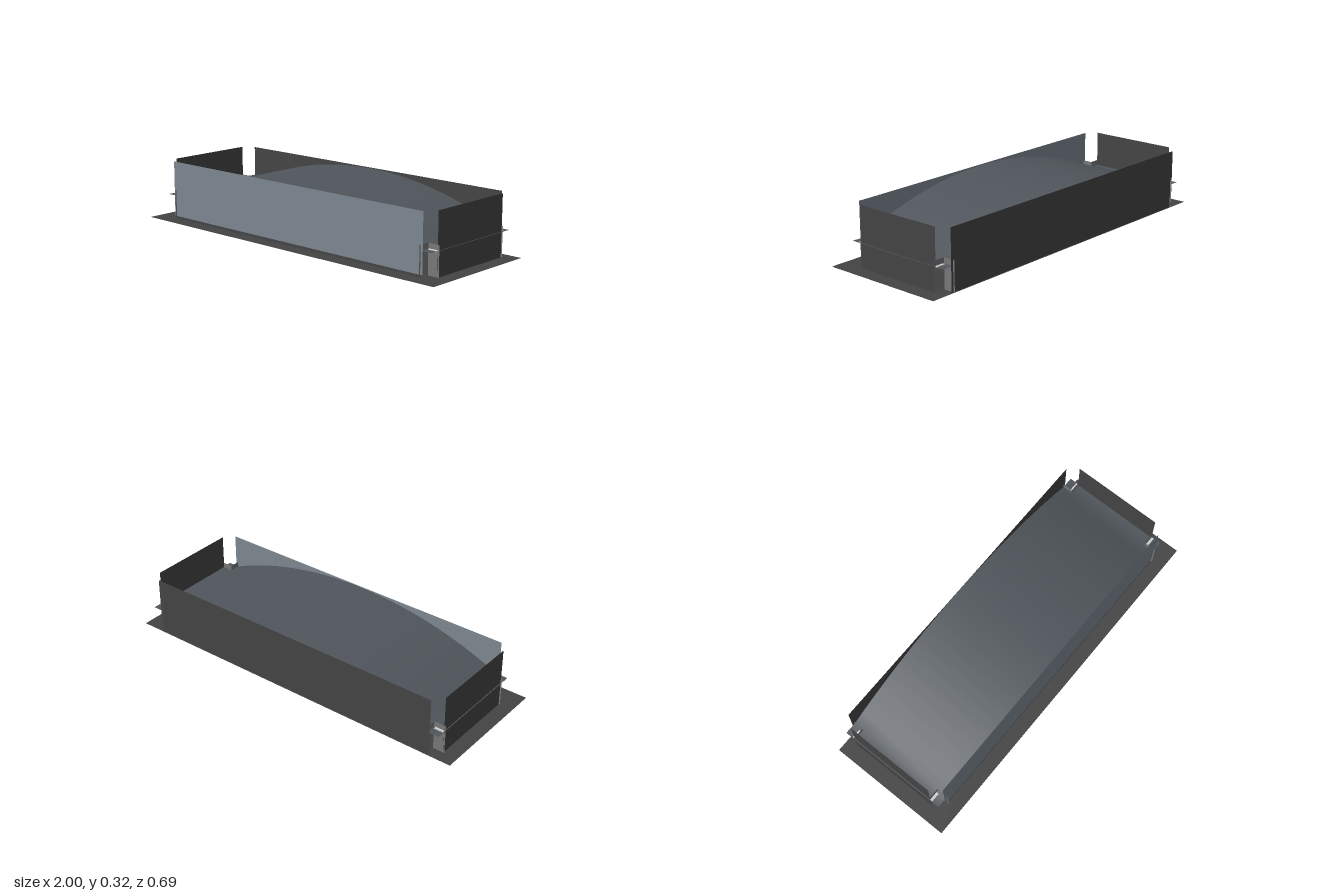
import * as THREE from 'three';

const mat = (color) => new THREE.MeshStandardMaterial({ color, side: THREE.DoubleSide });

export function createModel() {
  const model = new THREE.Group();
  const dark = mat(0x444444), blue = mat(0x7c8790), cover = mat(0x50565c);
  const grey = mat(0x777777), light = mat(0xcccccc);
  const front = 0.27, back = -0.34, midZ = (front + back) / 2;

  const add = (name, geometry, material, x, y, z) => {
    const mesh = new THREE.Mesh(geometry, material);
    mesh.name = name;
    mesh.position.set(x, y, z);
    model.add(mesh);
    return mesh;
  };
  // thin upright sheets facing along z and along x
  const sheetZ = (name, w, h, m, x, y, z) => add(name, new THREE.PlaneGeometry(w, h), m, x, y, z);
  const sheetX = (name, d, h, m, x, y, z) =>
    add(name, new THREE.PlaneGeometry(d, h).rotateY(Math.PI / 2), m, x, y, z);

  // flat ground plate
  add('basePlate', new THREE.PlaneGeometry(2, 0.69).rotateX(-Math.PI / 2), dark, 0, 0.002, 0);

  // four upright walls with open corners
  sheetZ('frontWall', 1.75, 0.305, blue, 0, 0.1695, front);
  sheetZ('frontSill', 1.72, 0.014, dark, 0, 0.01, front - 0.001);
  sheetZ('backWall', 1.75, 0.318, dark, 0, 0.162, back);

  // arched cover with a flat flange at each end
  const steps = 24, half = 0.86, rise = 0.185, flangeY = 0.132;
  const radius = (half * half + rise * rise) / (2 * rise);
  const profile = [[-0.925, flangeY]];
  for (let i = 0; i <= steps; i++) {
    const x = -half + (2 * half * i) / steps;
    profile.push([x, flangeY + rise - radius + Math.sqrt(radius * radius - x * x)]);
  }
  profile.push([0.925, flangeY]);
  const arch = new THREE.PlaneGeometry(1, front - back, profile.length - 1, 1).rotateX(-Math.PI / 2);
  const pos = arch.attributes.position;
  for (let i = 0; i < pos.count; i++) {
    const [x, y] = profile[i % profile.length];
    pos.setXYZ(i, x, y, pos.getZ(i));
  }
  arch.computeVertexNormals();
  add('archedCover', arch, cover, 0, 0, midZ);

  for (const s of [-1, 1]) {
    sheetX('sideWall', 0.5, 0.322, dark, s * 0.92, 0.163, midZ);
    // inward corner brackets, each made of two sheets and a small clip
    for (const t of [-1, 1]) {
      sheetX('cornerBracketSide', 0.066, 0.158, grey, s * 0.862, 0.082, midZ + t * 0.28);
      sheetZ('cornerBracketFace', 0.066, 0.158, grey, s * 0.894, 0.082, midZ + t * 0.248);
      add('cornerClip', new THREE.BoxGeometry(0.05, 0.007, 0.014), light,
        s * 0.897, 0.1315, midZ + t * 0.257);
    }
  }
  return model;
}
